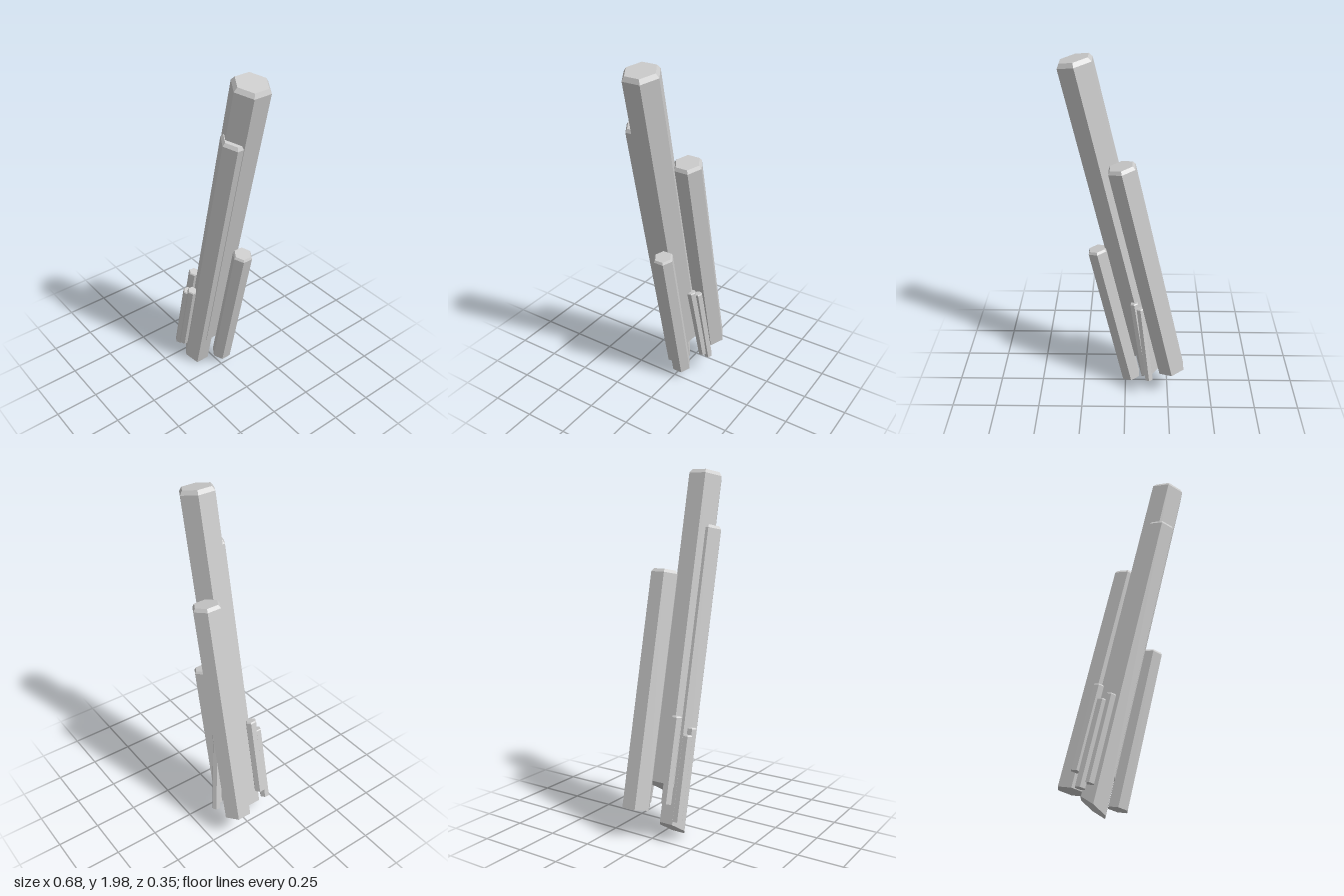
import * as THREE from 'three';

const material = new THREE.MeshStandardMaterial({ color: 0xcccccc, flatShading: true });
const UP = new THREE.Vector3(0, 1, 0);

// Six-sided crystal from base centre to tip centre: bevelled tip, optionally slanted base
function crystal(name, base, tip, radius, slant = 0) {
  const start = new THREE.Vector3(...base);
  const axis = new THREE.Vector3(...tip).sub(start);
  const height = axis.length();
  const bevel = radius * 0.22;
  const profile = [
    [0, 0], [radius, 0], [radius, height - bevel], [radius * 0.84, height], [0, height],
  ].map(([r, y]) => new THREE.Vector2(r, y));
  const indexed = new THREE.LatheGeometry(profile, 6);

  // Tilt the base cut so that it runs lower on the +x side
  const pos = indexed.attributes.position;
  for (let i = 0; i < pos.count; i++) {
    if (pos.getY(i) < 1e-6) pos.setY(i, -slant * pos.getX(i));
  }
  const geometry = indexed.toNonIndexed();
  geometry.computeVertexNormals();

  const mesh = new THREE.Mesh(geometry, material);
  mesh.name = name;
  mesh.position.copy(start);
  mesh.quaternion.setFromUnitVectors(UP, axis.normalize());
  return mesh;
}

export function createModel() {
  const group = new THREE.Group();
  group.name = 'crystalCluster';
  group.add(
    // Large crystals
    crystal('mainCrystal', [-0.13, 0.27, 0.022], [0.255, 1.98, 0.022], 0.102, 0.45),
    crystal('frontCrystal', [-0.16, 0.062, 0.071], [0.207, 1.69, 0.071], 0.08, 0.455),
    crystal('backCrystal', [-0.27, 0.18, -0.092], [0.02, 1.455, -0.092], 0.0825),
    crystal('sideCrystal', [-0.035, 0.075, -0.027], [0.155, 0.938, -0.027], 0.057),
    // Small crystals at the front
    crystal('smallFrontCrystal1', [-0.245, 0.235, 0.09], [-0.14, 0.695, 0.09], 0.031),
    crystal('smallFrontCrystal2', [-0.225, 0.138, 0.148], [-0.122, 0.595, 0.148], 0.029),
    crystal('smallFrontCrystal3', [-0.182, 0.162, 0.148], [-0.077, 0.625, 0.148], 0.029),
    // Thin crystals leaning in at the back
    crystal('thinBackCrystal1', [-0.12, 0.16, -0.125], [-0.05, 0.62, -0.08], 0.026),
    crystal('thinBackCrystal2', [-0.14, 0.14, -0.152], [-0.085, 0.6, -0.105], 0.024),
  );
  return group;
}
